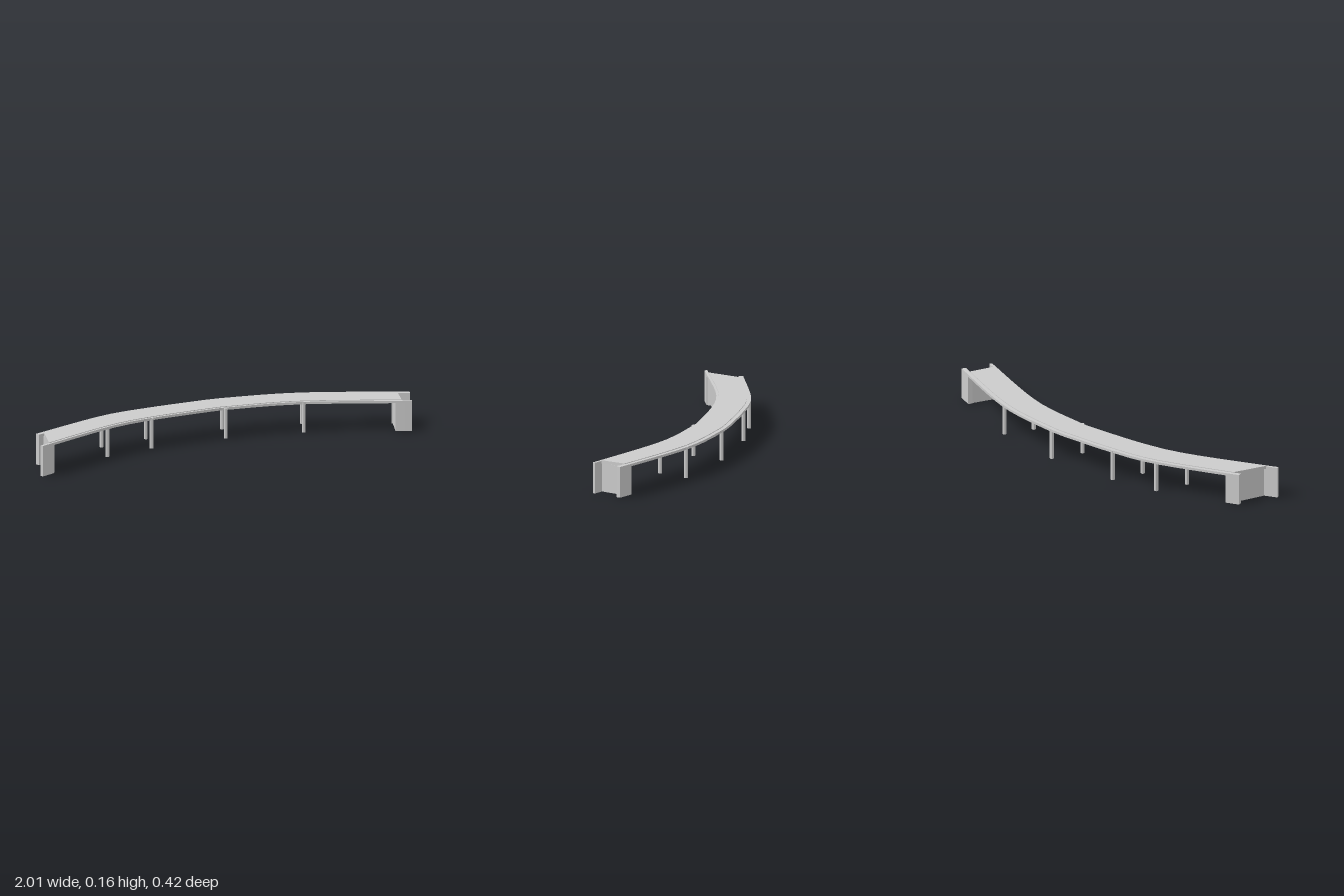
import * as THREE from 'three';

const material = new THREE.MeshStandardMaterial({ color: 0xcccccc, flatShading: true });
const DECK_BOTTOM = 0.14, EDGE_TOP = 0.152, ROAD_TOP = 0.155;

// Plan curves of the two outer edges, as (x, z)
const curve = (pts) => new THREE.SplineCurve(pts.map(([x, z]) => new THREE.Vector2(x, z)));
const backEdge = curve([[-0.943, -0.003], [-0.53, -0.163], [-0.28, -0.203], [0, -0.216],
  [0.13, -0.214], [0.51, -0.15], [1, 0.05]]);
const frontEdge = curve([[-1, 0.207], [-0.585, 0.03], [-0.335, -0.03], [0, -0.054],
  [0.08, -0.052], [0.44, 0.003], [0.945, 0.202]]);

// Points along a curve between u0 and u1, shifted sideways (positive = towards +z)
function sample(edge, u0, u1, offset, n = 24) {
  return Array.from({ length: n + 1 }, (_, i) => {
    const u = u0 + (u1 - u0) * i / n;
    const p = edge.getPointAt(u), t = edge.getTangentAt(u);
    return new THREE.Vector2(p.x - t.y * offset, p.y + t.x * offset);
  });
}

// Upright prism over a plan outline
function prism(name, outline, y0, y1) {
  const shape = new THREE.Shape(outline.map((p) => new THREE.Vector2(p.x, -p.y)));
  const geo = new THREE.ExtrudeGeometry(shape, { depth: y1 - y0, bevelEnabled: false });
  geo.rotateX(-Math.PI / 2).translate(0, y0, 0);
  const mesh = new THREE.Mesh(geo, material);
  mesh.name = name;
  return mesh;
}

// Strip of constant width following an edge
const strip = (edge, u0, u1, width, n) =>
  [...sample(edge, u0, u1, 0, n), ...sample(edge, u0, u1, width, n).reverse()];

export function createModel() {
  const bridge = new THREE.Group();
  bridge.name = 'curvedBridge';

  // Road slab, inset between the edge beams
  bridge.add(prism('roadDeck', [
    ...sample(backEdge, 0.018, 0.971, 0.02),
    ...sample(frontEdge, 0.028, 0.975, -0.012).reverse(),
  ], DECK_BOTTOM, ROAD_TOP));

  // Edge beams and the wing walls below their ends
  const sides = [
    { name: 'back', edge: backEdge, width: 0.022, left: 0.035, right: 0.957 },
    { name: 'front', edge: frontEdge, width: -0.014, left: 0.039, right: 0.967 },
  ];
  for (const s of sides) {
    bridge.add(prism(s.name + 'EdgeBeam', strip(s.edge, 0, 1, s.width), DECK_BOTTOM, EDGE_TOP));
    bridge.add(prism(s.name + 'RightWingWall', strip(s.edge, 0, s.left, s.width, 2), 0, DECK_BOTTOM));
    bridge.add(prism(s.name + 'LeftWingWall', strip(s.edge, s.right, 1, s.width, 2), 0, DECK_BOTTOM));
  }

  // Slanted abutment walls
  const abutments = {
    rightAbutment: [[-0.945, 0.177], [-0.904, 0], [-0.872, -0.012], [-0.922, 0.167]],
    leftAbutment: [[0.897, 0.177], [0.945, 0.045], [0.918, 0.032], [0.873, 0.167]],
  };
  for (const [name, pts] of Object.entries(abutments)) {
    bridge.add(prism(name, pts.map(([x, z]) => new THREE.Vector2(x, z)), 0, DECK_BOTTOM));
  }

  // Four pairs of slender piers
  const pierGeo = new THREE.CylinderGeometry(0.01, 0.01, EDGE_TOP - 0.002, 8);
  const pairs = [
    [[-0.53, -0.153], [-0.573, 0.012]], [[-0.278, -0.197], [-0.32, -0.036]],
    [[0.128, -0.206], [0.077, -0.05]], [[0.517, -0.14], [0.463, 0.005]],
  ];
  pairs.forEach((pair, i) => pair.forEach(([x, z], j) => {
    const pier = new THREE.Mesh(pierGeo, material);
    pier.name = (j ? 'frontPier' : 'backPier') + (i + 1);
    pier.position.set(x, (EDGE_TOP - 0.002) / 2, z);
    bridge.add(pier);
  }));

  return bridge;
}
